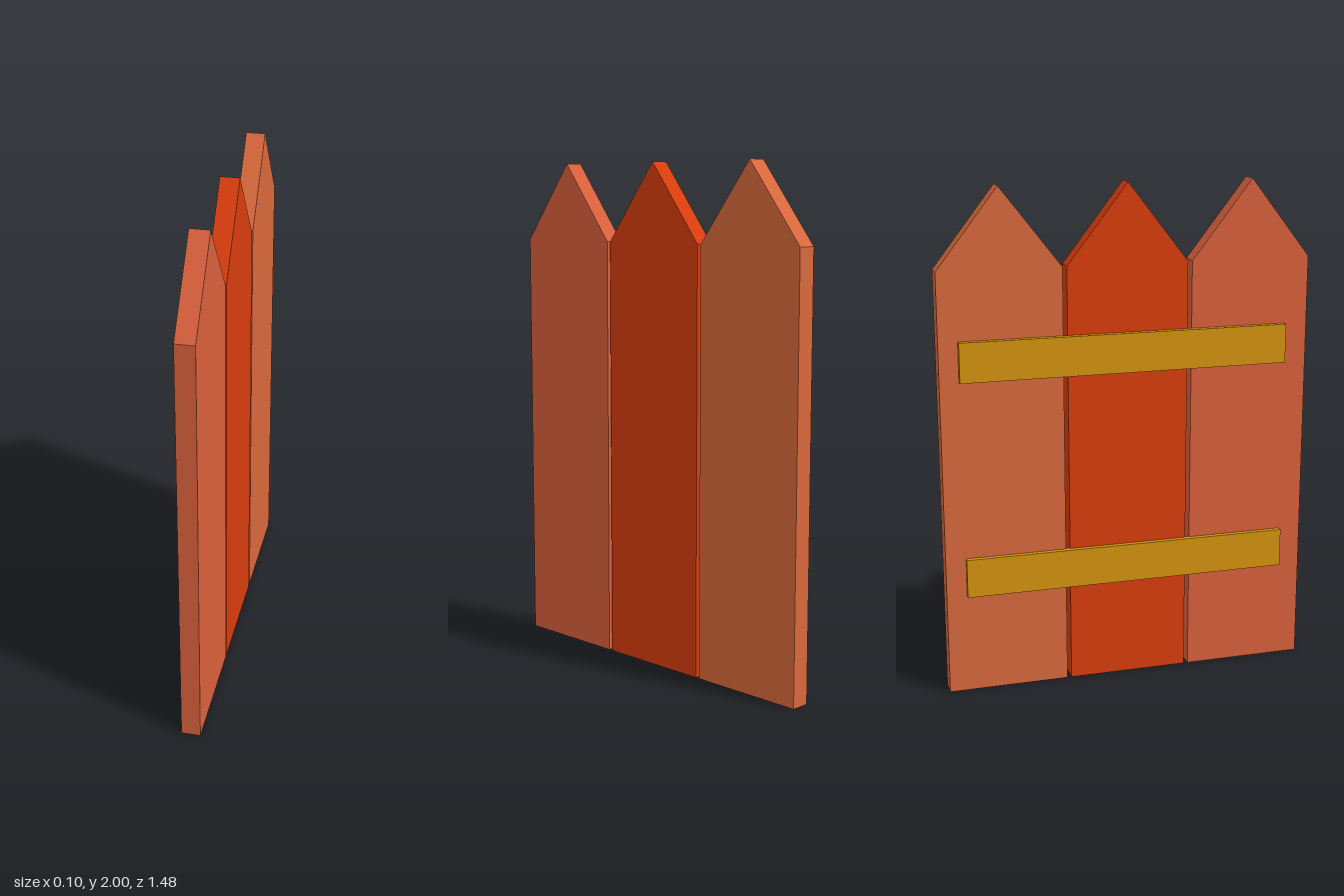
import * as THREE from 'three';

export function createModel() {
  const group = new THREE.Group();
  group.name = 'picketFence';

  const add = (name, geometry, color, x, y, z) => {
    const mesh = new THREE.Mesh(geometry, new THREE.MeshStandardMaterial({ color, flatShading: true }));
    mesh.name = name;
    mesh.position.set(x, y, z);
    group.add(mesh);
  };

  // Pointed board outline, extruded through its thickness and turned to face +x
  const half = 0.241, shoulder = 1.69, thickness = 0.075;
  const outline = new THREE.Shape([
    new THREE.Vector2(-half, 0),
    new THREE.Vector2(half, 0),
    new THREE.Vector2(half, shoulder),
    new THREE.Vector2(0, 2),
    new THREE.Vector2(-half, shoulder),
  ]);
  const board = new THREE.ExtrudeGeometry(outline, { depth: thickness, bevelEnabled: false });
  board.rotateY(Math.PI / 2);

  // Three boards side by side with narrow gaps
  add('frontBoard', board, 0xd9603c, -0.025, 0, 0.499);
  add('middleBoard', board, 0xd93d0d, -0.025, 0, 0);
  add('backBoard', board, 0xd9693c, -0.025, 0, -0.499);

  // Two rails across the -x side
  const rail = new THREE.BoxGeometry(0.028, 0.156, 1.31);
  add('upperRail', rail, 0xd4940f, -0.036, 1.347, -0.01);
  add('lowerRail', rail, 0xd4940f, -0.032, 0.481, -0.005);

  return group;
}
